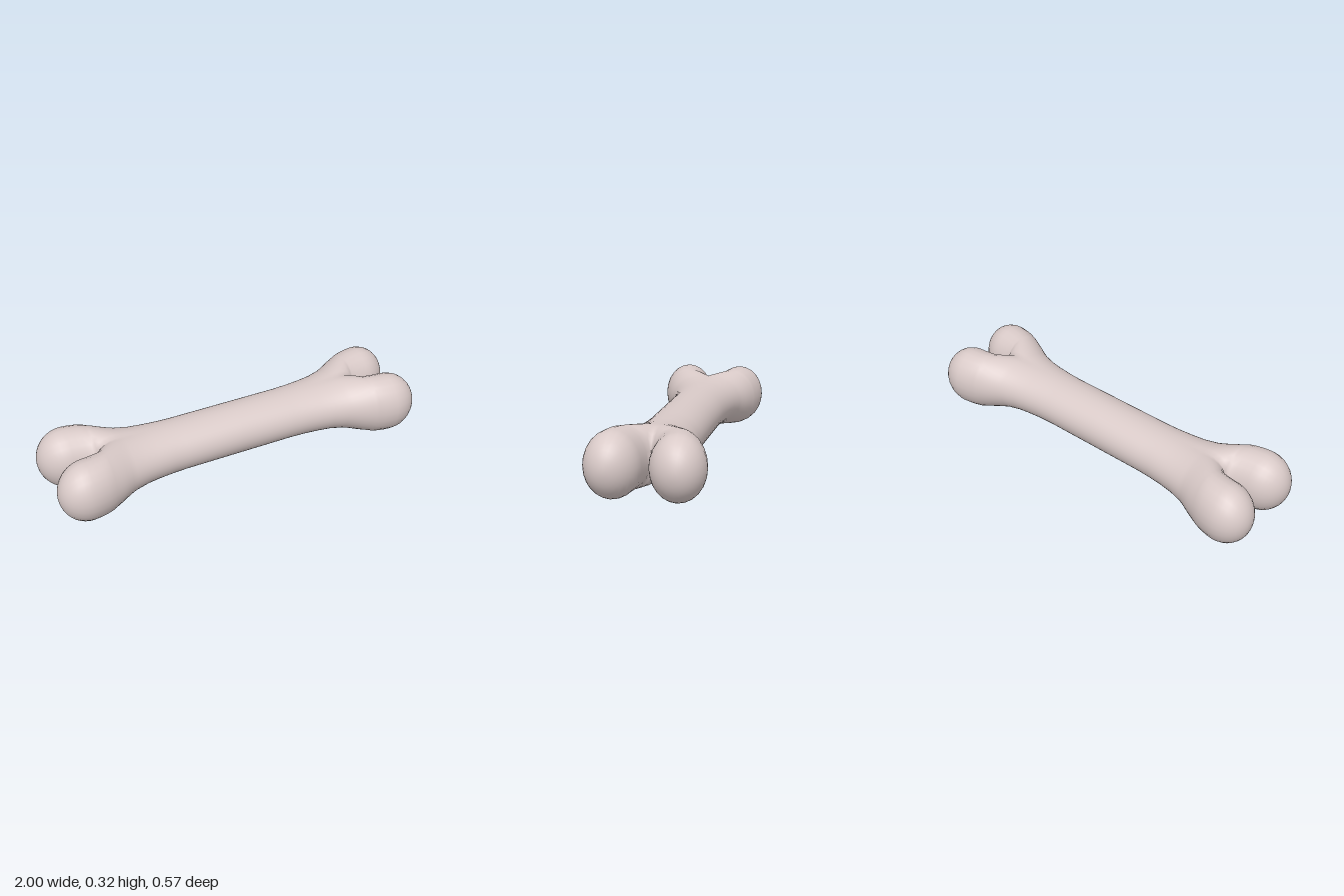
import * as THREE from 'three';
import { mergeGeometries, mergeVertices } from 'three/addons/utils/BufferGeometryUtils.js';

const MID_Y = 0.1625; // height of the bone's axis
const SIDES = 24;

// Cross-sections of one quarter, from mid shaft to knuckle:
// x, ellipse centre z, half width, half height
const stations = [
  [0, 0, 0.15, 0.127],
  [0.3, 0, 0.15, 0.127],
  [0.38, 0.001, 0.153, 0.128],
  [0.46, 0.004, 0.159, 0.1295],
  [0.53, 0.011, 0.163, 0.132],
  [0.6, 0.029, 0.163, 0.138],
  [0.63, 0.044, 0.161, 0.142],
  [0.66, 0.062, 0.158, 0.146],
  [0.69, 0.085, 0.15, 0.15],
  [0.715, 0.103, 0.142, 0.153],
  [0.735, 0.118, 0.136, 0.155],
  [0.75, 0.13, 0.13, 0.157],
  [0.78, 0.139, 0.131, 0.159],
  [0.815, 0.146, 0.132, 0.16],
];
// Rounded knuckle end
for (let i = 0; i <= 10; i++) {
  const a = (i / 10) * Math.PI / 2;
  const r = i === 10 ? 0 : Math.cos(a);
  stations.push([0.85 + 0.15 * Math.sin(a), 0.15 + 0.007 * Math.sin(a), 0.133 * r, 0.16 * r]);
}

// One quarter of the bone; each ellipse is cut off where it meets z = 0
function quarter(sx, sz) {
  const positions = [];
  const index = [];
  for (const [x, zc, rz, ry] of stations) {
    const limit = zc < rz ? Math.acos(-zc / rz) : Math.PI;
    for (let j = 0; j <= SIDES; j++) {
      const t = (2 * j / SIDES - 1) * limit;
      positions.push(sx * x, MID_Y + ry * Math.sin(t), sz * (zc + rz * Math.cos(t)));
    }
  }
  const tri = (a, b, c) => (sx * sz > 0 ? index.push(a, b, c) : index.push(a, c, b));
  const row = SIDES + 1;
  for (let i = 0; i < stations.length - 1; i++) {
    for (let j = 0; j < SIDES; j++) {
      const a = i * row + j;
      const b = a + row;
      tri(a, b, a + 1);
      if (i < stations.length - 2) tri(b, b + 1, a + 1);
    }
  }
  const geometry = new THREE.BufferGeometry();
  geometry.setAttribute('position', new THREE.Float32BufferAttribute(positions, 3));
  geometry.setIndex(index);
  return geometry;
}

export function createModel() {
  const ivory = new THREE.MeshStandardMaterial({ color: 0xd9cac8 });
  ivory.name = 'paleBone';

  // Shaft and four knuckles as one smooth welded surface
  const parts = [];
  for (const sx of [1, -1]) for (const sz of [1, -1]) parts.push(quarter(sx, sz));
  const geometry = mergeVertices(mergeGeometries(parts), 1e-4);
  geometry.computeVertexNormals();

  const bone = new THREE.Mesh(geometry, ivory);
  bone.name = 'bone';
  const group = new THREE.Group();
  group.name = 'boneModel';
  group.add(bone);
  return group;
}
